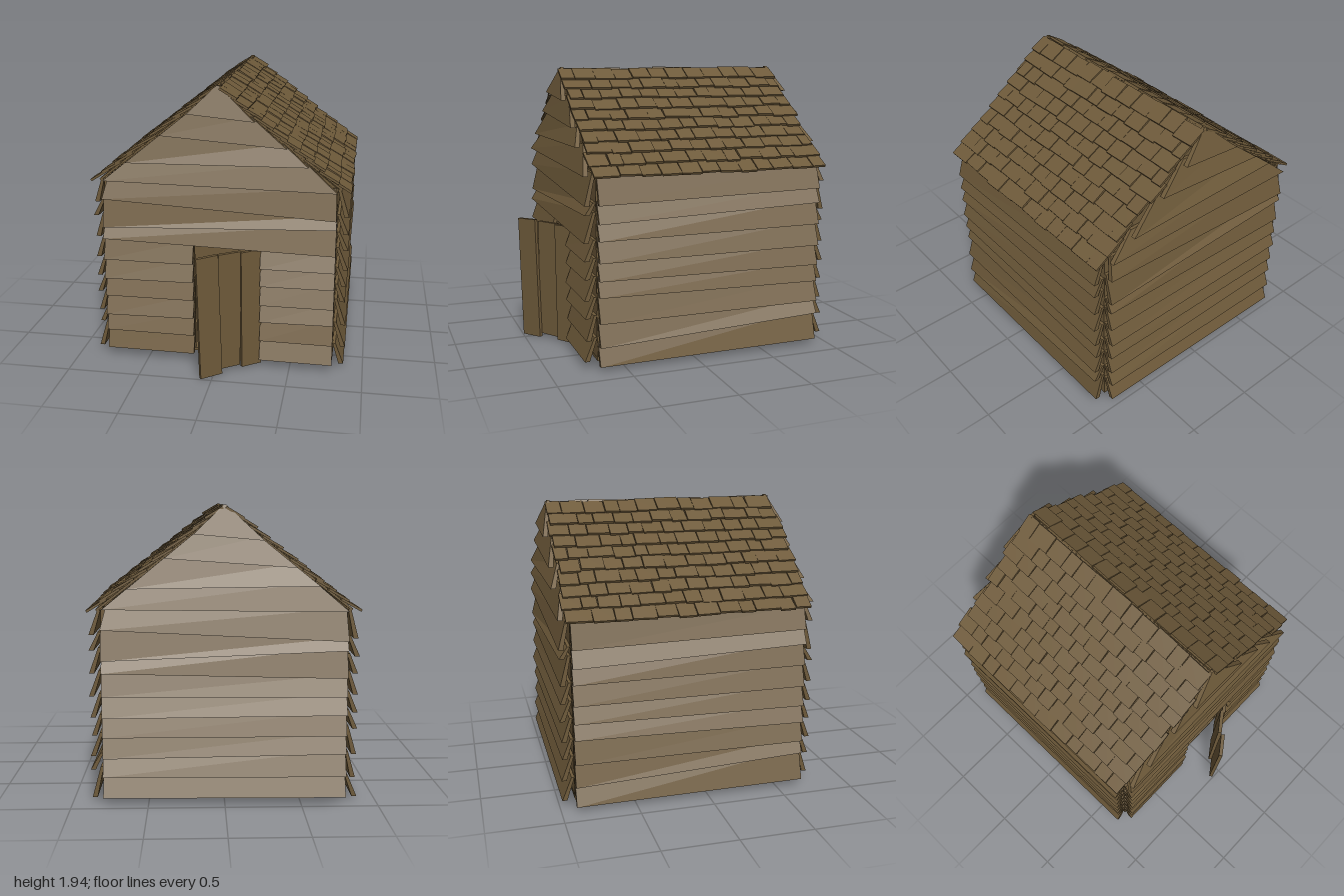
import * as THREE from 'three';
import { mergeGeometries } from 'three/addons/utils/BufferGeometryUtils.js';

const wood = new THREE.MeshStandardMaterial({ color: 0x6e5a3a, flatShading: true, side: THREE.DoubleSide });

const HALF = 0.79;                 // half width and half depth of the square shell
const BASE = 0.06, EAVE = 1.29, APEX = 1.93;
const SLOPE = Math.atan2(0.67, 0.86);
const DOOR = { left: -0.17, right: 0.29, top: 0.87 };

// Bottom edges of the boards: height at the left end and at the right end
const gableRows = [
  [0.07, 0.06], [0.21, 0.20], [0.33, 0.35], [0.47, 0.47], [0.60, 0.61], [0.74, 0.73],
  [0.89, 0.85], [0.97, 1.03], [1.17, 1.09], [1.30, 1.28], [1.43, 1.445], [1.62, 1.56], [1.77, 1.73], [1.93, 1.93],
];
const sideRows = [
  [0.04, 0.05], [0.17, 0.24], [0.33, 0.33], [0.50, 0.47], [0.61, 0.59], [0.73, 0.73],
  [0.87, 0.88], [0.98, 1.03], [1.10, 1.13], [1.27, 1.27],
];

let seed = 7;
function jitter(amount) {
  seed = (seed * 16807) % 2147483647;
  return (seed / 2147483647 * 2 - 1) * amount;
}

function add(parent, name, geometry, x = 0, y = 0, z = 0) {
  const mesh = new THREE.Mesh(geometry, wood);
  mesh.name = name;
  mesh.position.set(x, y, z);
  parent.add(mesh);
  return mesh;
}

// Half width of a gable at a given height
const gableHalf = y => HALF * THREE.MathUtils.clamp((APEX - y) / (APEX - EAVE), 0.01, 1);

// Leaning board: bottom edge stands off the wall, top edge tucks under the next board
function board(from, to, row, next, clip) {
  const geo = new THREE.BoxGeometry(1, 1, 1);
  const p = geo.attributes.position;
  const lean = 0.045 + jitter(0.008);
  for (let i = 0; i < p.count; i++) {
    const up = p.getY(i) > 0, outer = p.getZ(i) > 0;
    let x = p.getX(i) > 0 ? to : from;
    const t = (x + HALF) / (2 * HALF);
    const y = up ? THREE.MathUtils.lerp(next[0], next[1], t) + 0.02
                 : THREE.MathUtils.lerp(row[0], row[1], t);
    if (clip) x = THREE.MathUtils.clamp(x, -gableHalf(y), gableHalf(y));
    p.setXYZ(i, x, y, HALF + (up ? 0 : lean) + (outer ? (up ? 0.02 : 0.033) : 0));
  }
  geo.computeVertexNormals();
  return geo;
}

function clad(wall, rows, clip, hasDoor) {
  for (let i = 0; i < rows.length - 1; i++) {
    const spans = hasDoor && rows[i][0] < DOOR.top - 0.05
      ? [[-HALF, DOOR.left], [DOOR.right, HALF]] : [[-HALF, HALF]];
    for (const [a, b] of spans) add(wall, 'wallBoard', board(a, b, rows[i], rows[i + 1], clip));
  }
}

// Pentagon wall with an optional doorway
function gablePanel(hasDoor) {
  const s = new THREE.Shape();
  s.moveTo(-HALF, BASE);
  if (hasDoor) {
    s.lineTo(DOOR.left, BASE);
    s.lineTo(DOOR.left, DOOR.top);
    s.lineTo(DOOR.right, DOOR.top);
    s.lineTo(DOOR.right, BASE);
  }
  s.lineTo(HALF, BASE);
  s.lineTo(HALF, EAVE);
  s.lineTo(0, APEX);
  s.lineTo(-HALF, EAVE);
  return new THREE.ExtrudeGeometry(s, { depth: 0.02, bevelEnabled: false });
}

// One roof slope: boards below, overlapping rows of uneven shingles above
function roofSlope() {
  const slope = new THREE.Group();
  slope.name = 'roofSlope';
  const inner = new THREE.Group();
  inner.position.y = APEX;
  inner.rotation.z = -SLOPE;
  slope.add(inner);
  add(inner, 'roofDeck', new THREE.BoxGeometry(1.04, 0.015, 1.58), 0.52, -0.005, 0);

  const tiles = [];
  const rows = 10, perRow = 12, reach = 0.82;
  for (let r = 0; r < rows; r++) {
    const tail = 1.09 - r * 0.1065;
    const step = 2 * reach / perRow;
    const edges = [-reach + jitter(0.02)];
    for (let c = 1; c < perRow; c++) edges.push(-reach + (c + (r % 2 ? 0.25 : -0.25)) * step + jitter(0.025));
    edges.push(reach + jitter(0.02));
    for (let c = 0; c < perRow; c++) {
      const length = Math.min(0.15, tail);
      const tile = new THREE.BoxGeometry(length, 0.016, edges[c + 1] - edges[c] - 0.004);
      tile.translate(-length / 2, 0, 0);
      tile.rotateZ(0.13 + jitter(0.03));
      tile.rotateY(jitter(0.03));
      tile.translate(tail + jitter(0.008), 0.026 + jitter(0.004), (edges[c] + edges[c + 1]) / 2);
      tiles.push(tile);
    }
  }
  add(inner, 'shingles', mergeGeometries(tiles));
  return slope;
}

export function createModel() {
  const model = new THREE.Group();
  model.name = 'woodenHut';
  const house = new THREE.Group();
  house.name = 'house';
  house.position.z = -0.11;
  model.add(house);

  // Four walls, turned about the middle of the house
  ['frontWall', 'rightWall', 'backWall', 'leftWall'].forEach((name, i) => {
    const wall = new THREE.Group();
    wall.name = name;
    wall.rotation.y = i * Math.PI / 2;
    const gable = i % 2 === 0;
    if (gable) add(wall, 'wallPanel', gablePanel(i === 0), 0, 0, HALF - 0.022);
    else add(wall, 'wallPanel', new THREE.BoxGeometry(2 * HALF, EAVE - BASE, 0.02), 0, (EAVE + BASE) / 2, HALF - 0.012);
    clad(wall, gable ? gableRows : sideRows, gable, i === 0);
    house.add(wall);
  });
  add(house, 'floor', new THREE.BoxGeometry(2 * HALF, 0.02, 2 * HALF), 0, BASE + 0.01, 0);

  // Roof
  for (const turn of [0, Math.PI]) {
    const slope = roofSlope();
    slope.rotation.y = turn;
    house.add(slope);
  }

  // Door of three rough boards, standing open
  const door = new THREE.Group();
  door.name = 'door';
  door.position.set(DOOR.right, 0, 0.705);
  door.rotation.y = 0.62;
  const leaves = [
    // centre, width, bottom, top, offset, lean
    [-0.075, 0.15, 0.02, 0.86, 0, 0.01],
    [-0.235, 0.17, 0.035, 0.865, -0.012, -0.012],
    [-0.395, 0.16, 0.01, 0.875, 0.012, 0.03],
  ];
  for (const [x, w, low, high, z, lean] of leaves) {
    const leaf = add(door, 'doorBoard', new THREE.BoxGeometry(w, high - low, 0.026), x, (low + high) / 2, z);
    leaf.rotation.z = lean;
  }
  model.add(door);
  return model;
}
